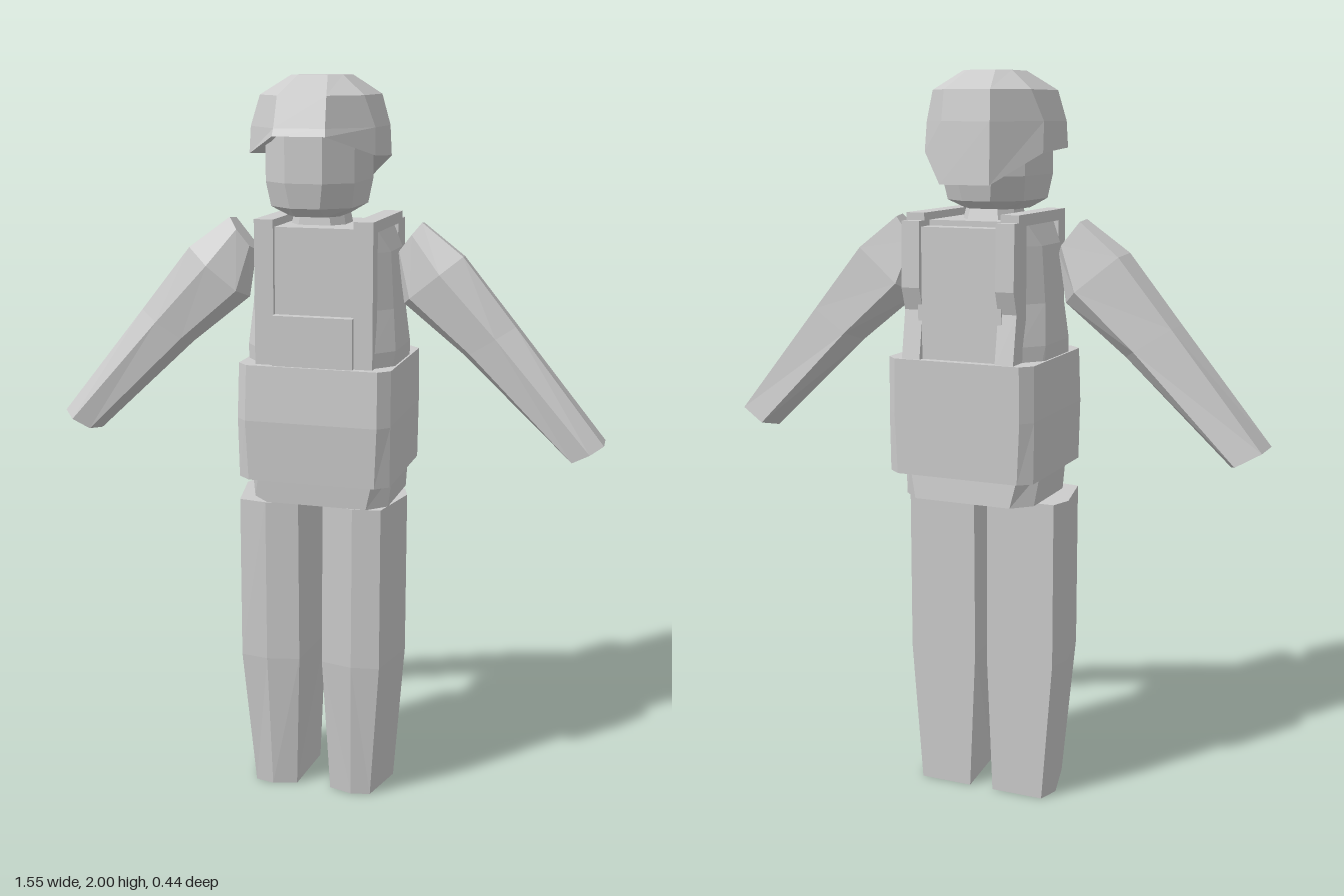
import * as THREE from 'three';

const material = new THREE.MeshStandardMaterial({ color: 0xcccccc, flatShading: true });

// Skin equal-length rings of [x, y, z] points and close both ends.
function loft(name, rings) {
  const n = rings[0].length;
  const tris = [];
  for (let r = 0; r + 1 < rings.length; r++) {
    for (let i = 0; i < n; i++) {
      const j = (i + 1) % n;
      const [a, b, c, d] = [rings[r][i], rings[r][j], rings[r + 1][j], rings[r + 1][i]];
      tris.push([a, c, b], [a, d, c]);
    }
  }
  const cap = (ring, flip) => {
    const mid = [0, 1, 2].map(k => ring.reduce((s, p) => s + p[k], 0) / n);
    ring.forEach((p, i) => {
      const q = ring[(i + 1) % n];
      tris.push(flip ? [mid, q, p] : [mid, p, q]);
    });
  };
  cap(rings[0], false);
  cap(rings[rings.length - 1], true);
  // Turn the faces outward whatever the ring direction was
  const V = p => new THREE.Vector3(...p);
  const volume = tris.reduce((s, [a, b, c]) => s + V(a).dot(V(b).cross(V(c))), 0);
  if (volume < 0) tris.forEach(t => t.reverse());
  const geometry = new THREE.BufferGeometry();
  geometry.setAttribute('position', new THREE.Float32BufferAttribute(tris.flat(2), 3));
  geometry.computeVertexNormals();
  const mesh = new THREE.Mesh(geometry, material);
  mesh.name = name;
  return mesh;
}

// Eight-sided horizontal ring: centre x, half width, back z, front z, corner cuts.
function octagon(y, cx, hx, zb, zf, cutX, cutZ) {
  return [
    [cx - hx + cutX, y, zf], [cx + hx - cutX, y, zf],
    [cx + hx, y, zf - cutZ], [cx + hx, y, zb + cutZ],
    [cx + hx - cutX, y, zb], [cx - hx + cutX, y, zb],
    [cx - hx, y, zb + cutZ], [cx - hx, y, zf - cutZ],
  ];
}

function box(name, x0, x1, y0, y1, z0, z1) {
  const mesh = new THREE.Mesh(new THREE.BoxGeometry(x1 - x0, y1 - y0, z1 - z0), material);
  mesh.position.set((x0 + x1) / 2, (y0 + y1) / 2, (z0 + z1) / 2);
  mesh.name = name;
  return mesh;
}

const mirror = rings => rings.map(ring => ring.map(([x, y, z]) => [-x, y, z]));

export function createModel() {
  const model = new THREE.Group();
  model.name = 'figure';
  const CX = 0.02; // the torso sits slightly to its left

  // Head and neck
  model.add(loft('head', [
    octagon(1.64, 0, 0.07, -0.07, 0.12, 0.03, 0.04),
    octagon(1.665, 0, 0.11, -0.125, 0.165, 0.07, 0.06),
    octagon(1.73, 0, 0.12, -0.14, 0.178, 0.07, 0.06),
    octagon(1.86, 0, 0.12, -0.14, 0.178, 0.07, 0.06),
  ]));
  model.add(loft('neck', [
    octagon(1.58, 0, 0.08, -0.09, 0.08, 0.03, 0.04),
    octagon(1.67, 0, 0.065, -0.07, 0.07, 0.03, 0.04),
  ]));

  // Helmet: raised brow at the front, dropped guard at the back
  const rim = octagon(0, 0, 0.17, -0.2, 0.22, 0.1, 0.12);
  const rimY = [1.85, 1.85, 1.8, 1.79, 1.71, 1.71, 1.79, 1.8];
  rim.forEach((p, i) => { p[1] = rimY[i]; });
  const inner = rim.map(([x, y, z]) => [x * 0.7, y + 0.02, z * 0.7]);
  const band = octagon(1.87, 0, 0.168, -0.19, 0.213, 0.1, 0.12);
  model.add(loft('helmet', [
    inner, rim, band,
    octagon(1.95, 0, 0.14, -0.18, 0.19, 0.075, 0.09),
    octagon(2.0, 0, 0.07, -0.09, 0.09, 0.03, 0.04),
  ]));

  // Torso
  model.add(loft('torso', [
    octagon(0.86, CX, 0.19, -0.18, 0.135, 0.05, 0.05),
    octagon(0.95, CX, 0.2, -0.17, 0.14, 0.04, 0.06),
    octagon(1.29, CX, 0.205, -0.15, 0.14, 0.05, 0.06),
    octagon(1.4, CX, 0.195, -0.14, 0.135, 0.06, 0.07),
    octagon(1.55, CX, 0.185, -0.14, 0.13, 0.06, 0.07),
    octagon(1.615, CX, 0.15, -0.14, 0.13, 0.03, 0.04),
  ]));

  // Lower vest wrapped round the waist
  const vest = new THREE.Group();
  vest.name = 'vest';
  vest.add(loft('waistWrap', [
    octagon(0.935, CX, 0.21, -0.215, 0.185, 0.035, 0.03),
    octagon(1.1, CX, 0.212, -0.215, 0.19, 0.03, 0.03),
    octagon(1.25, CX, 0.21, -0.215, 0.18, 0.03, 0.03),
  ]));
  // Chest bib, pocket and back plate
  vest.add(box('chestPanel', CX - 0.12, CX + 0.12, 1.24, 1.615, 0.1, 0.145));
  vest.add(box('chestPocket', CX - 0.11, CX + 0.11, 1.24, 1.385, 0.12, 0.172));
  vest.add(box('backPanel', CX - 0.12, CX + 0.12, 1.24, 1.6, -0.19, -0.12));
  // Straps over both shoulders, with a shaped rear half
  for (const s of [-1, 1]) {
    const x0 = CX + s * 0.135 - 0.026, x1 = x0 + 0.052;
    vest.add(box('frontStrap', x0, x1, 1.24, 1.635, 0.11, 0.158));
    vest.add(box('shoulderStrap', x0, x1, 1.605, 1.635, -0.17, 0.158));
    const rear = [[1.24, -0.21], [1.38, -0.185], [1.44, -0.205], [1.615, -0.2]];
    vest.add(loft('backStrap', rear.map(([y, z]) => [
      [x0, y, -0.12], [x1, y, -0.12], [x1, y, z], [x0, y, z],
    ])));
  }
  model.add(vest);

  // Arms: each station holds outer point, inner point, back z, front z
  const arm = [
    [0.27, 1.62, 0.2, 1.53, -0.07, 0.0],
    [0.385, 1.535, 0.22, 1.4, -0.085, 0.025],
    [0.53, 1.355, 0.39, 1.265, -0.085, 0.025],
    [0.775, 1.05, 0.68, 0.995, -0.09, 0.04],
  ].map(([ox, oy, ix, iy, zb, zf]) => {
    const at = (t, u) => [ox + (ix - ox) * t, oy + (iy - oy) * t, zb + (zf - zb) * u];
    return [at(0, 0.75), at(0.35, 1), at(0.85, 0.9), at(1, 0.45), at(0.75, 0), at(0.05, 0.1)];
  });

  // Legs: six-sided, tapering below the knee
  const leg = [
    [0.86, 0.02, 0.235, 0.14],
    [0.4, 0.018, 0.235, 0.14],
    [0, 0.035, 0.205, 0.112],
  ].map(([y, x0, x1, zf]) => {
    const w = x1 - x0;
    return [
      [x0 + 0.015, y, zf - 0.02], [x0 + w * 0.48, y, zf], [x1 - 0.035, y, zf - 0.012],
      [x1, y, -0.04], [x1 - 0.02, y, -0.1], [x0, y, -0.1],
    ];
  });

  model.add(loft('leftArm', arm), loft('rightArm', mirror(arm)));
  model.add(loft('leftLeg', leg), loft('rightLeg', mirror(leg)));
  return model;
}
